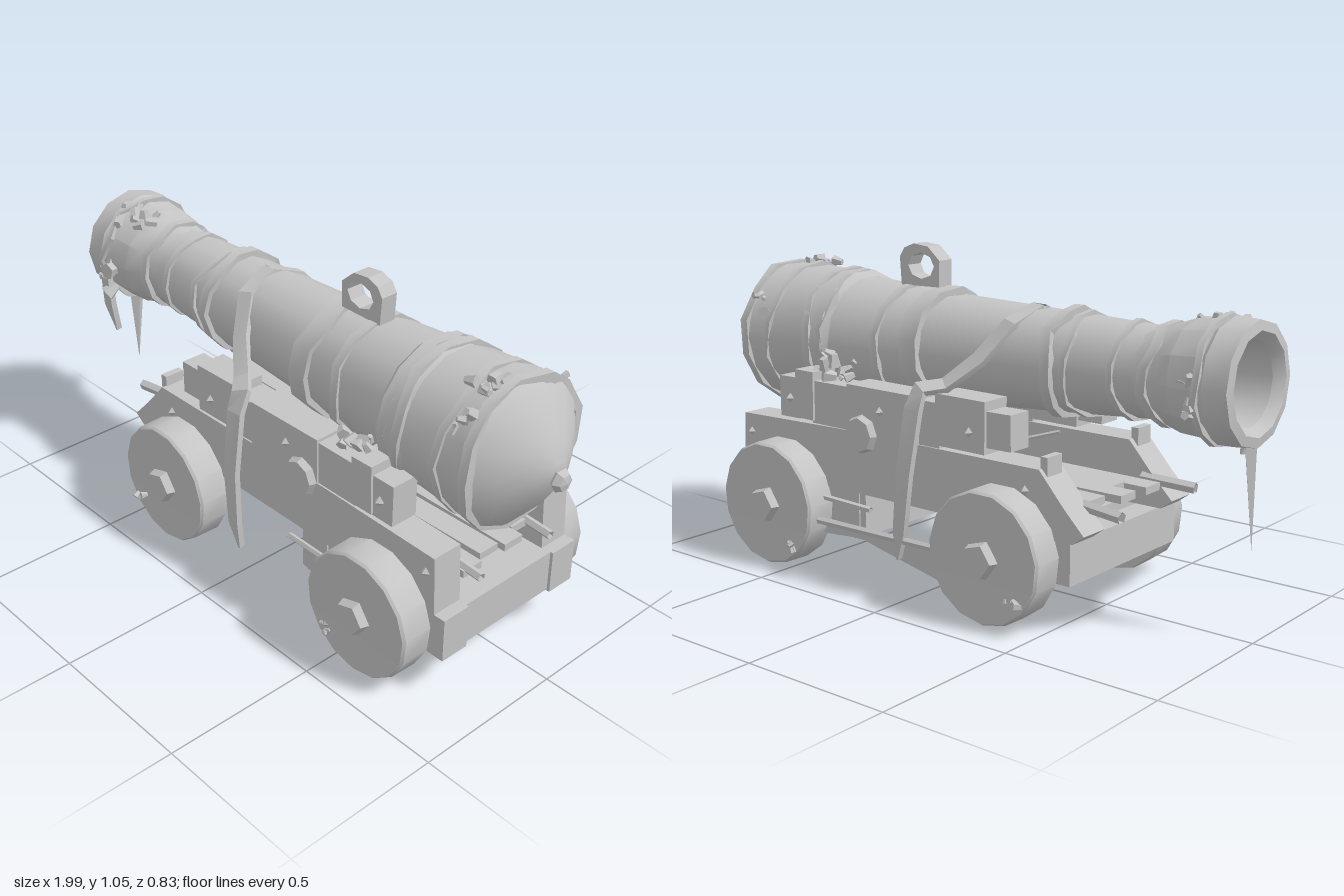
import * as THREE from 'three';
import { toCreasedNormals } from 'three/addons/utils/BufferGeometryUtils.js';

const iron = new THREE.MeshStandardMaterial({ color: 0xc4c4c4, side: THREE.DoubleSide });
iron.name = 'weathered grey';

let seed = 7;
const rnd = () => ((seed = (seed * 16807) % 2147483647) / 2147483647) - 0.5;

function add(parent, name, geo, x = 0, y = 0, z = 0, rx = 0, ry = 0, rz = 0, crease = 0.35) {
  const m = new THREE.Mesh(toCreasedNormals(geo, crease), iron);
  m.name = name;
  m.position.set(x, y, z);
  m.rotation.set(rx, ry, rz);
  parent.add(m);
  return m;
}

// Box given by its limits on each axis
function box(parent, name, x0, x1, y0, y1, z0, z1, rz = 0, ry = 0) {
  return add(parent, name, new THREE.BoxGeometry(x1 - x0, y1 - y0, z1 - z0),
    (x0 + x1) / 2, (y0 + y1) / 2, (z0 + z1) / 2, 0, ry, rz);
}

// Side outline in x,y extruded between two z values
function slab(parent, name, pts, z0, z1) {
  const s = new THREE.Shape(pts.map(p => new THREE.Vector2(...p)));
  return add(parent, name, new THREE.ExtrudeGeometry(s, { depth: z1 - z0, bevelEnabled: false }), 0, 0, z0);
}

// Turned part along x from [x, radius] pairs
function turned(parent, name, pts, sides = 14, wobble = 0, crease = 0.55) {
  const geo = new THREE.LatheGeometry(pts.map(([x, r]) => new THREE.Vector2(r, x)), sides);
  if (wobble) {
    const p = geo.attributes.position, n = pts.length;
    for (let i = 0; i < sides; i++) {
      const shift = rnd() * wobble, swell = 1 + rnd() * wobble * 0.6;
      for (let j = 0; j < n; j++) {
        for (const k of i === 0 ? [j, sides * n + j] : [i * n + j]) {
          p.setXYZ(k, p.getX(k) * swell, p.getY(k) + shift, p.getZ(k) * swell);
        }
      }
    }
  }
  return add(parent, name, geo, 0, 0, 0, 0, 0, -Math.PI / 2, crease);
}

// Flat ribbon through [x, y, z, halfWidth] stations, widened along x
function ribbon(parent, name, stations, thick = 0.02) {
  const pos = [], idx = [];
  stations.forEach(([x, y, z, w], i) => {
    const a = stations[Math.max(i - 1, 0)], b = stations[Math.min(i + 1, stations.length - 1)];
    const t = new THREE.Vector3(b[0] - a[0], b[1] - a[1], b[2] - a[2]).normalize();
    const side = new THREE.Vector3(1, 0, 0).addScaledVector(t, -t.x).normalize();
    const n = new THREE.Vector3().crossVectors(t, side).multiplyScalar(thick / 2);
    for (const [u, v] of [[-1, -1], [1, -1], [1, 1], [-1, 1]]) {
      pos.push(x + side.x * w * u + n.x * v, y + side.y * w * u + n.y * v, z + side.z * w * u + n.z * v);
    }
    if (i) for (let k = 0; k < 4; k++) {
      const p = (i - 1) * 4 + k, q = (i - 1) * 4 + (k + 1) % 4;
      idx.push(p, q, q + 4, p, q + 4, p + 4);
    }
  });
  const g = new THREE.BufferGeometry();
  g.setAttribute('position', new THREE.Float32BufferAttribute(pos, 3));
  g.setIndex(idx);
  return add(parent, name, g);
}

// Patch of small angular growths
function cluster(parent, name, x, y, z, spread, count, size) {
  const g = new THREE.Group();
  g.name = name;
  for (let i = 0; i < count; i++) {
    const r = size * (1 + rnd());
    add(g, 'barnacle', new THREE.CylinderGeometry(r * 0.55, r, r * 1.7, 5),
      x + rnd() * spread[0], y + rnd() * spread[1], z + rnd() * spread[2], rnd() * 3, rnd() * 3, rnd() * 3);
  }
  parent.add(g);
}

function stick(parent, name, a, b, r = 0.012) {
  const c = new THREE.LineCurve3(new THREE.Vector3(...a), new THREE.Vector3(...b));
  add(parent, name, new THREE.TubeGeometry(c, 1, r, 5));
}

function buildBarrel(root) {
  const g = new THREE.Group();
  g.name = 'barrel';
  g.position.y = 0.733;
  g.rotation.z = -0.02;
  root.add(g);
  // Bored muzzle, tapering tube and domed breech
  turned(g, 'muzzle', [[-0.55, 0], [-0.55, 0.115], [-0.96, 0.125], [-0.99, 0.15], [-0.985, 0.18],
    [-0.91, 0.186], [-0.895, 0.176], [-0.79, 0.168], [-0.74, 0.152], [-0.66, 0.136]], 12);
  turned(g, 'tube', [[-0.68, 0.134], [-0.62, 0.138], [-0.4, 0.15], [0.1, 0.174], [0.49, 0.207]], 14);
  turned(g, 'breech', [[0.47, 0.207], [0.49, 0.226], [0.57, 0.23], [0.58, 0.222], [0.72, 0.232], [0.825, 0.238],
    [0.85, 0.215], [0.89, 0.165], [0.935, 0.095], [0.965, 0.035], [0.97, 0]], 14);
  const knob = turned(g, 'breechKnob', [[0.94, 0], [0.955, 0.025], [0.975, 0.037], [0.995, 0.026], [1, 0]], 6, 0, 0.2);
  knob.position.y = -0.018;
  // Worn reinforcing bands
  for (const [x, w, r] of [[-0.89, 0.02, 0.188], [-0.71, 0.03, 0.156], [-0.6, 0.02, 0.15], [-0.43, 0.02, 0.16],
    [-0.36, 0.035, 0.172], [0.125, 0.07, 0.196], [0.27, 0.03, 0.2], [0.5, 0.03, 0.228], [0.56, 0.03, 0.235],
    [0.73, 0.025, 0.242], [0.82, 0.03, 0.246]]) {
    turned(g, 'band', [[x - w / 2, r - 0.03], [x - w / 2, r], [x + w / 2, r], [x + w / 2, r - 0.03]], 13, 0.035);
  }
  // Lifting ring
  const s = new THREE.Shape(), h = new THREE.Path();
  [[-0.075, -0.03], [0.085, -0.03], [0.09, 0.06], [0.07, 0.09], [0.03, 0.105], [-0.03, 0.098], [-0.078, 0.055]]
    .forEach((p, i) => i ? s.lineTo(...p) : s.moveTo(...p));
  h.absellipse(0, 0.035, 0.055, 0.042, 0, Math.PI * 2, true);
  s.holes.push(h);
  add(g, 'liftingRing', new THREE.ExtrudeGeometry(s, { depth: 0.06, bevelEnabled: false, curveSegments: 4 }), 0.22, 0.222, -0.022);
  // Growths and rivets
  cluster(g, 'muzzleTopGrowth', -0.84, 0.145, 0.05, [0.14, 0.06, 0.14], 12, 0.019);
  for (const z of [0.165, -0.165]) cluster(g, 'muzzleSideGrowth', -0.87, -0.03, z, [0.09, 0.12, 0.05], 10, 0.02);
  cluster(g, 'breechTopGrowth', 0.77, 0.225, 0.09, [0.11, 0.04, 0.1], 10, 0.017);
  cluster(g, 'breechSideGrowth', 0.78, 0.14, 0.19, [0.07, 0.09, 0.05], 6, 0.015);
  cluster(g, 'breechSideGrowth', 0.78, 0.12, -0.2, [0.07, 0.09, 0.04], 4, 0.015);
}

function buildWheel(root, x, side) {
  const g = new THREE.Group();
  g.name = 'wheel';
  g.position.set(x, 0.21, side > 0 ? 0.342 : -0.334);
  if (side < 0) g.rotation.y = Math.PI;
  root.add(g);
  const r = 0.206;
  const geo = new THREE.LatheGeometry([[0, -0.054], [r - 0.004, -0.054], [r, -0.045], [r - 0.002, 0.045], [r - 0.008, 0.054], [0, 0.05]]
    .map(p => new THREE.Vector2(...p)), 15);
  add(g, 'disc', geo, 0, 0, 0, Math.PI / 2, 0, 0, 0.5);
  add(g, 'hub', new THREE.CylinderGeometry(0.052, 0.062, 0.03, 5), 0, 0, 0.063, Math.PI / 2, 0.3, 0);
  cluster(g, 'wheelGrowth', -0.12 * side, -0.11, 0.055, [0.05, 0.05, 0.02], 4, 0.012);
}

function buildSide(root, s) {
  const g = new THREE.Group();
  g.name = s > 0 ? 'leftSide' : 'rightSide';
  root.add(g);
  const zz = (a, b) => s > 0 ? [a, b] : [-b, -a];
  // Cheek, cap blocks and ledge
  slab(g, 'cheek', [[-0.57, 0.28], [0.8, 0.28], [0.79, 0.47], [0.35, 0.48], [-0.45, 0.48], [-0.54, 0.38], [-0.61, 0.31]], ...zz(0.18, 0.285));
  for (const [x0, x1, y0, y1, z0, z1] of [[-0.34, -0.22, 0.51, 0.62, 0.19, 0.275], [-0.25, -0.06, 0.49, 0.65, 0.18, 0.285],
    [-0.07, 0.02, 0.48, 0.62, 0.185, 0.28], [0.01, 0.31, 0.475, 0.63, 0.18, 0.285], [0.3, 0.47, 0.48, 0.62, 0.185, 0.28],
    [0.46, 0.54, 0.49, 0.65, 0.18, 0.288], [0.53, 0.62, 0.485, 0.62, 0.185, 0.28]]) {
    box(g, 'capBlock', x0, x1, y0, y1, ...zz(z0, z1), rnd() * 0.03);
  }
  box(g, 'stepPeg', -0.47, -0.445, 0.42, 0.515, ...zz(0.2, 0.27));
  box(g, 'post', 0.265, 0.355, 0.14, 0.29, ...zz(0.2, 0.285));
  // Trunnion with faceted cap
  add(g, 'trunnion', new THREE.CylinderGeometry(0.055, 0.068, 0.035, 8), 0.245, 0.478, s * 0.29, s * Math.PI / 2);
  for (const [x, y] of [[-0.19, 0.55], [0.17, 0.56], [0.57, 0.55], [-0.4, 0.41], [0.76, 0.41]]) {
    add(g, 'bolt', new THREE.OctahedronGeometry(0.017), x, y, s * 0.284);
  }
  cluster(g, 'cheekGrowth', 0.42, 0.67, s * 0.235, [0.15, 0.07, 0.06], 12, 0.019);
  // Splintered plank ends
  stick(g, 'splinter', [-0.68, 0.36, s * 0.2], [-0.5, 0.37, s * 0.18], 0.018);
  stick(g, 'splinter', [0.7, 0.38, s * 0.15], [0.85, 0.37, s * 0.15], 0.015);
  stick(g, 'splinter', [0.2, 0.24, s * 0.3], [0.4, 0.25, s * 0.31], 0.01);
  // Hanging weed draped down this side
  ribbon(g, 'weedStrap', [[-0.23, 0.895, 0, 0.025], [-0.21, 0.855, s * 0.11, 0.026], [-0.15, 0.75, s * 0.185, 0.026],
    [-0.07, 0.67, s * 0.25, 0.026], [-0.015, 0.66, s * 0.3, 0.03], [-0.01, 0.6, s * 0.328, 0.03],
    [0, 0.4, s * 0.36, 0.027], [0.015, 0.22, s * 0.365, 0.022], [0.03, 0.13, s * 0.355, 0.004]]);
  buildWheel(root, -0.32, s);
  buildWheel(root, 0.59, s);
}

function buildUndercarriage(root) {
  const g = new THREE.Group();
  g.name = 'undercarriage';
  root.add(g);
  // Axle beams and end transoms
  box(g, 'rearTransom', 0.72, 0.83, 0.14, 0.28, -0.2, 0.2);
  box(g, 'frontTransom', -0.56, -0.48, 0.15, 0.28, -0.28, 0.28);
  for (const s of [-1, 1]) box(g, 'transomEnd', 0.74, 0.84, 0.135, 0.28, s * 0.235 - 0.05, s * 0.235 + 0.05);
  box(g, 'frontAxle', -0.42, -0.2, 0.15, 0.28, -0.29, 0.29);
  // Rear axle bed with a shallow keel that rises towards its forward edge
  const s = new THREE.Shape([[-0.28, 0.28], [-0.28, 0.12], [0, 0.085], [0.28, 0.12], [0.28, 0.28]].map(p => new THREE.Vector2(...p)));
  const bed = new THREE.ExtrudeGeometry(s, { depth: 0.5, steps: 4, bevelEnabled: false });
  const p = bed.attributes.position;
  for (let i = 0; i < p.count; i++) if (p.getZ(i) < 0.01 && p.getY(i) < 0.2) p.setY(i, 0.14);
  add(g, 'rearAxleBed', bed, 0.24, 0, 0, 0, Math.PI / 2, 0);
  // Brace and rod between the wheels of one side
  slab(g, 'bracePlate', [[-0.28, 0.03], [0.24, 0.14], [0.5, 0.12], [0.5, 0.17], [0.23, 0.17], [-0.25, 0.16]], -0.305, -0.285);
  stick(g, 'rod', [-0.18, 0.2, -0.37], [0.42, 0.18, -0.34]);
  // Loose bed planks
  for (const [z, x0, x1, y] of [[-0.125, -0.55, 0.76, 0.37], [-0.045, -0.6, 0.8, 0.37], [0.045, -0.5, 0.78, 0.365], [0.125, -0.58, 0.8, 0.36]]) {
    box(g, 'plank', x0, x1, y - 0.012, y + 0.012, z - 0.038, z + 0.038, rnd() * 0.015, rnd() * 0.03);
  }
  stick(g, 'brokenBatten', [0.6, 0.35, -0.02], [0.72, 0.28, -0.16], 0.01);
  stick(g, 'brokenBatten', [-0.2, 0.47, 0.16], [0.1, 0.38, 0.05], 0.007);
}

export function createModel() {
  const root = new THREE.Group();
  root.name = 'cannon';
  seed = 7;
  buildBarrel(root);
  buildUndercarriage(root);
  for (const s of [1, -1]) buildSide(root, s);
  // Weed hanging from the muzzle
  const weed = add(root, 'muzzleWeed', new THREE.ConeGeometry(0.035, 0.34, 4), -0.972, 0.44, 0.005, Math.PI, 0, 0.05);
  weed.scale.x = 0.6;
  ribbon(root, 'muzzleWeedShort', [[-0.87, 0.7, 0.19, 0.02], [-0.86, 0.6, 0.19, 0.022], [-0.85, 0.5, 0.17, 0.003]]);
  return root;
}
